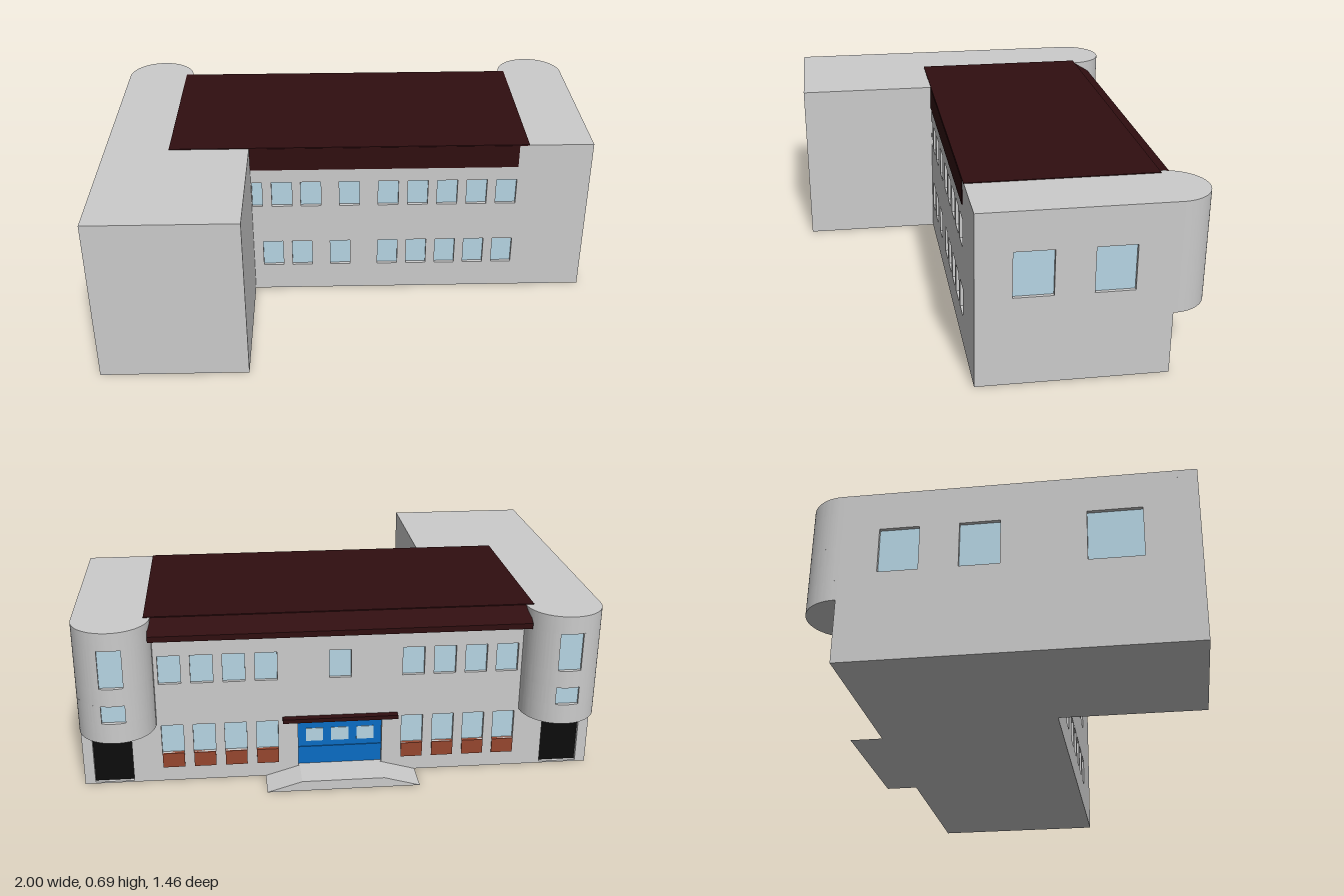
import * as THREE from 'three';
import { toCreasedNormals } from 'three/addons/utils/BufferGeometryUtils.js';

const mat = (color) => new THREE.MeshStandardMaterial({ color });
const GREY = mat(0xcccccc), GLASS = mat(0xb6d5e4), ROOF = mat(0x300e10);
const BRICK = mat(0x96462f), BLUE = mat(0x0a6cc4), BLACK = mat(0x0c0c0c);
const H = 0.69, T = 0.03, RECESS = 0.014;

function add(parent, name, geometry, material) {
  const mesh = new THREE.Mesh(geometry, material);
  mesh.name = name;
  parent.add(mesh);
  return mesh;
}

// box given by its limits on each axis
function block(parent, name, [x0, x1], [y0, y1], [z0, z1], material) {
  const m = add(parent, name, new THREE.BoxGeometry(x1 - x0, y1 - y0, z1 - z0), material);
  m.position.set((x0 + x1) / 2, (y0 + y1) / 2, (z0 + z1) / 2);
  return m;
}

const polygon = (pts) => new THREE.Shape(pts.map(([x, y]) => new THREE.Vector2(x, y)));
const extrude = (shape, depth, curveSegments = 12) =>
  new THREE.ExtrudeGeometry(shape, { depth, bevelEnabled: false, curveSegments });

// horizontal slab from an outline in (x, z)
function slab(pts, y, height) {
  return extrude(polygon(pts.map(([x, z]) => [x, -z])), height).rotateX(-Math.PI / 2).translate(0, y, 0);
}

// wall facing local +z; openings are { u: [left, right], y: [bottom, top] } with a recessed filling
function wall(parent, name, u0, u1, openings, angle, position) {
  const group = new THREE.Group();
  group.name = name;
  group.rotation.y = angle;
  group.position.set(...position);
  const shape = polygon([[u0, 0], [u1, 0], [u1, H], [u0, H]]);
  for (const { u: [a, b], y: [c, d], fill = GLASS, label = 'windowPane' } of openings) {
    const hole = new THREE.Path();
    hole.moveTo(a, c).lineTo(a, d).lineTo(b, d).lineTo(b, c).closePath();
    shape.holes.push(hole);
    block(group, label, [a, b], [c, d], [-T, -RECESS], fill);
  }
  add(group, 'wallFace', extrude(shape, T).translate(0, 0, -T), GREY);
  parent.add(group);
  return group;
}

// half-round tower: stacked bands, some notched for a window
function tower(parent, name, x) {
  const group = new THREE.Group();
  group.name = name;
  group.position.set(x, 0, -0.585);
  const r = 0.145, half = 0.044, inner = 0.122;
  const a = Math.acos(half / r);
  const bands = [[0.25, 0.33], [0.33, 0.4, true], [0.4, 0.47], [0.47, 0.62, true], [0.62, H]];
  for (const [y0, y1, notched] of bands) {
    const s = new THREE.Shape();
    s.moveTo(-r, -0.02).lineTo(r, -0.02).lineTo(r, 0);
    if (notched) {
      s.absarc(0, 0, r, 0, a, false);
      s.lineTo(half, inner).lineTo(-half, inner);
      s.absarc(0, 0, r, Math.PI - a, Math.PI, false);
      block(group, 'towerWindow', [-half, half], [y0, y1], [-inner - 0.006, -inner + 0.01], GLASS);
    } else s.absarc(0, 0, r, 0, Math.PI, false);
    const g = extrude(s, y1 - y0, 28).rotateX(-Math.PI / 2).translate(0, y0, 0);
    add(group, 'towerBand', toCreasedNormals(g, 0.5), GREY);
  }
  parent.add(group);
}

export function createModel() {
  const model = new THREE.Group();
  model.name = 'building';

  // L-shaped floor and ceiling
  const plan = [[-1, -0.58], [1, -0.58], [1, 0.15], [-0.415, 0.15], [-0.415, 0.725], [-1, 0.725]];
  add(model, 'floorSlab', slab(plan, 0, 0.005), GREY);
  add(model, 'ceilingSlab', slab(plan, H - 0.03, 0.03), GREY);

  // front wall with two rows of windows
  const upper = [0.415, 0.53], lower = [0.12, 0.24];
  const around = (c, y, w = 0.085) => ({ u: [c - w / 2, c + w / 2], y });
  const shared = [0, 1, 2, 3, 4].map((i) => 0.158 + i * 0.1235);
  const front = [
    ...shared.flatMap((c) => [around(c, upper), around(c, lower)]),
    ...[-0.288, -0.167, -0.005].map((c) => around(c, upper)),
    ...[-0.332, -0.208, -0.045].map((c) => around(c, lower)),
    { u: [-0.412, -0.37], y: upper },
  ];
  wall(model, 'frontWall', -0.445, 1, front, 0, [0, 0, 0.15]);

  // back wall: windows, brick panels, entrance and tower doors
  const columns = [0.285, 0.408, 0.53, 0.652].flatMap((c) => [c, -c]);
  const back = [
    ...[0, ...columns].map((c) => around(c, upper)),
    ...columns.map((c) => around(c, lower)),
    { u: [-0.165, 0.165], y: [0.04, 0.225], fill: BLUE, label: 'entrancePanel' },
    ...[-0.885, 0.885].map((c) => ({ ...around(c, [0.006, 0.225], 0.15), fill: BLACK, label: 'towerDoor' })),
  ];
  const backWall = wall(model, 'backWall', -1, 1, back, Math.PI, [0, 0, -0.58]);
  for (const c of columns)
    block(backWall, 'brickPanel', [c - 0.0425, c + 0.0425], [0.06, 0.12], [-0.01, 0.005], BRICK);
  for (const c of [-0.1, 0, 0.1])
    block(backWall, 'entranceWindow', [c - 0.034, c + 0.034], [0.14, 0.195], [-0.02, -0.011], GLASS);
  block(backWall, 'entranceRail', [-0.165, 0.165], [0.108, 0.116], [-0.02, -0.01], BLUE);
  block(backWall, 'entranceCanopy', [-0.225, 0.225], [0.24, 0.256], [-0.005, 0.03], ROOF);

  // side walls; the -x one runs on along the wing
  const sideY = [0.355, 0.535];
  const pair = [-0.0625, -0.36];
  wall(model, 'leftWall', -0.15, 0.58, pair.map((z) => around(-z, sideY, 0.15)), Math.PI / 2, [1, 0, 0]);
  const rightWindows = [...pair.map((z) => around(z, sideY, 0.15)), around(0.425, [0.345, 0.545], 0.2)];
  wall(model, 'rightWall', -0.58, 0.725, rightWindows, -Math.PI / 2, [-1, 0, 0]);

  // wing walls
  wall(model, 'wingFrontWall', -1, -0.415, [], 0, [0, 0, 0.725]);
  wall(model, 'wingInnerWall', -0.725, -0.15, [], Math.PI / 2, [-0.415, 0, 0]);

  // corner towers
  tower(model, 'leftTower', 0.855);
  tower(model, 'rightTower', -0.855);

  // dark roof, front fascia and sloped back eave
  block(model, 'roof', [-0.74, 0.735], [H - 0.002, H + 0.003], [-0.586, 0.151], ROOF);
  block(model, 'frontFascia', [-0.415, 0.695], [0.59, H], [0.14, 0.153], ROOF);
  const eave = polygon([[0.57, 0.62], [0.66, 0.62], [0.66, 0.642], [0.585, H], [0.57, H]]);
  add(model, 'backEave', extrude(eave, 1.44).rotateY(Math.PI / 2).scale(1, 1, 1).translate(-0.72, 0, 0), ROOF);

  // entrance platform with a ramp at each end
  const ramp = polygon([[-0.3, 0], [0.295, 0], [0.16, 0.04], [-0.16, 0.04]]);
  add(model, 'entranceRamp', extrude(ramp, 0.14).translate(0, 0, -0.712), GREY);

  return model;
}
